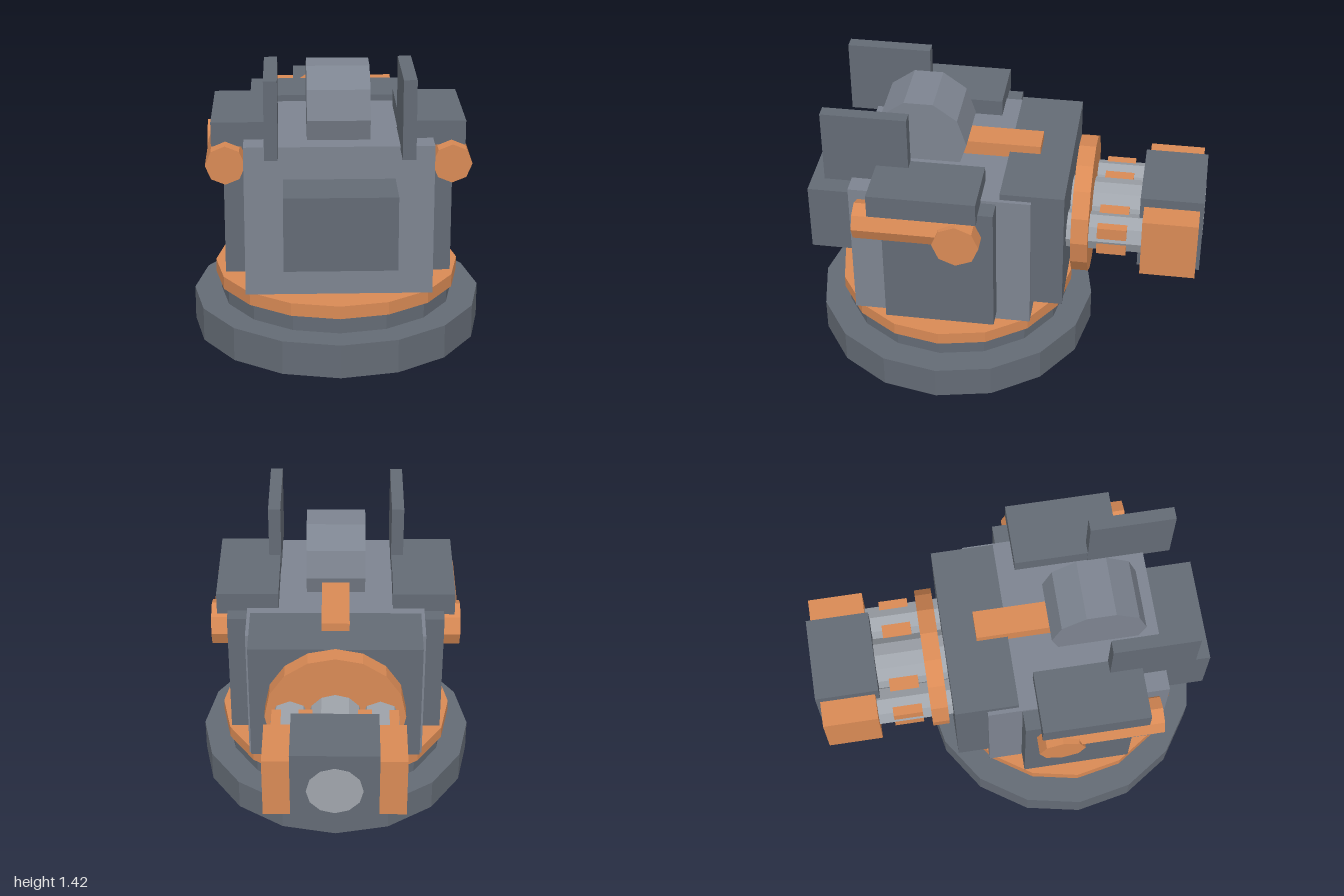
import * as THREE from 'three';

const mat = (color) => new THREE.MeshStandardMaterial({ color, flatShading: true });

export function createModel() {
  const model = new THREE.Group();
  const dark = mat(0x646b75), body = mat(0x7d8490), metal = mat(0xa0a5ac), orange = mat(0xd98a55);

  const add = (name, geometry, material) => {
    const mesh = new THREE.Mesh(geometry, material);
    mesh.name = name;
    model.add(mesh);
    return mesh;
  };
  // Box given by its extents on each axis
  const box = (name, material, [x0, x1], [y0, y1], [z0, z1]) =>
    add(name, new THREE.BoxGeometry(x1 - x0, y1 - y0, z1 - z0), material)
      .position.set((x0 + x1) / 2, (y0 + y1) / 2, (z0 + z1) / 2);
  // Faceted cylinder along an axis, centred at a point
  const cyl = (name, material, axis, radius, length, sides, x, y, z) => {
    const g = new THREE.CylinderGeometry(radius, radius, length, sides);
    if (axis === 'x') g.rotateZ(Math.PI / 2);
    if (axis === 'z') g.rotateX(Math.PI / 2);
    add(name, g, material).position.set(x, y, z);
  };

  // Stepped round base with turning ring
  cyl('base', dark, 'y', 0.72, 0.17, 16, 0, 0.085, 0.275);
  cyl('basePlinth', dark, 'y', 0.585, 0.09, 16, 0, 0.212, 0.275);
  cyl('turningRing', orange, 'y', 0.61, 0.065, 16, 0, 0.288, 0.275);

  // Main housing
  box('housing', body, [-0.45, 0.45], [0.32, 1.065], [-0.17, 0.73]);
  box('frontBlock', dark, [-0.265, 0.265], [0.545, 0.905], [0.7, 0.987]);
  box('rearBlock', dark, [-0.43, 0.43], [0.44, 1.097], [-0.33, -0.015]);
  box('topRail', orange, [-0.07, 0.07], [1.04, 1.14], [-0.17, 0.27]);
  cyl('topDrum', body, 'x', 0.235, 0.3, 10, 0, 1.17, 0.425);

  // Barrel assembly at the rear
  cyl('barrelDisc', orange, 'z', 0.35, 0.085, 16, 0, 0.77, -0.398);
  cyl('centreBarrel', metal, 'z', 0.135, 0.771, 12, 0, 0.77, -0.6165);
  box('muzzleBlock', dark, [-0.21, 0.21], [0.56, 0.98], [-1, -0.685]);

  // Mirrored side parts
  for (const s of [1, -1]) {
    const side = s > 0 ? 'left' : 'right';
    const span = (a, b) => (s > 0 ? [a, b] : [-b, -a]);
    box(side + 'SidePlate', dark, span(0.43, 0.55), [0.365, 1.05], [0, 0.55]);
    box(side + 'Shoulder', dark, span(0.29, 0.605), [1.03, 1.15], [0.075, 0.605]);
    box(side + 'Fin', dark, span(0.287, 0.35), [1.045, 1.425], [0.445, 0.868]);
    cyl(side + 'Rod', orange, 'z', 0.095, 0.51, 8, s * 0.537, 0.96, 0.425);
    cyl(side + 'RodHub', orange, 'x', 0.115, 0.1, 8, s * 0.588, 0.917, 0.172);
    cyl(side + 'Barrel', metal, 'z', 0.095, 0.45, 8, s * 0.222, 0.77, -0.515);
    box(side + 'BarrelClamp', orange, span(0.111, 0.311), [0.6925, 0.8475], [-0.63, -0.483]);
    box(side + 'MuzzleCheek', orange, span(0.19, 0.34), [0.61, 0.93], [-0.98, -0.705]);
  }
  return model;
}
